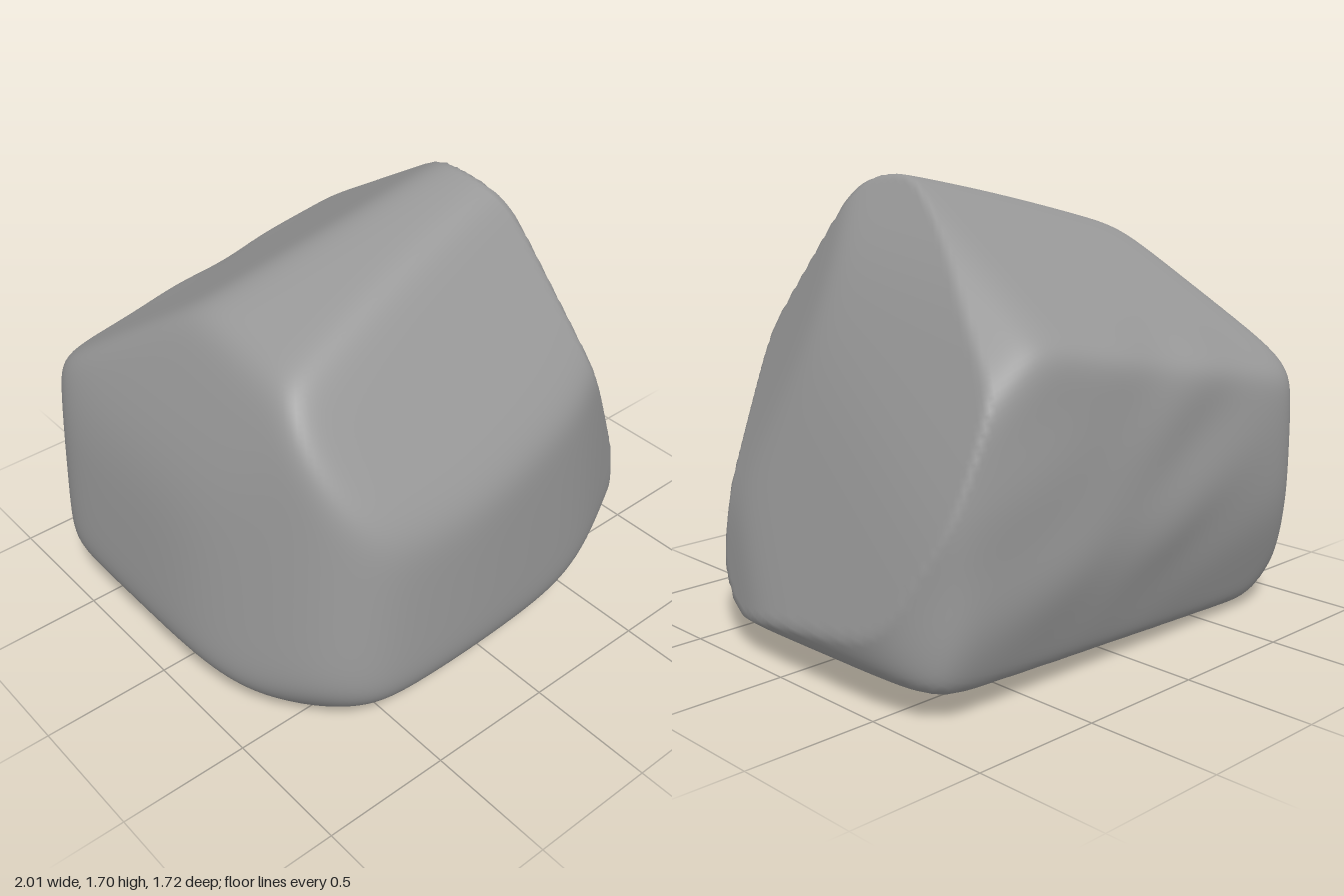
import * as THREE from 'three';
import { mergeVertices } from 'three/addons/utils/BufferGeometryUtils.js';

const V = (x, y, z) => new THREE.Vector3(x, y, z);
const CENTER = V(0, 0.7, 0);

// A cut through the stone: outward direction and a point on the face
const cut = (n, p) => {
  const normal = V(...n).normalize();
  return { normal, h: normal.dot(V(...p).sub(CENTER)) };
};

// Worn faces that blend softly into one another
const wornFaces = [
  cut([0.045, -1, -0.02], [0, 0.02, 0]),           // underside
  cut([0, -0.73, 0.68], [0, 0.125, 0.75]),         // lower front bevel
  cut([0.35, -0.72, 0.6], [0.6, 0.12, 0.6]),       // lower front right corner
  cut([-0.6, -0.65, 0.5], [-0.75, 0.18, 0.7]),     // lower front left corner
  cut([0.16, 0.02, 1], [-0.1, 0.55, 0.85]),        // front
  cut([-0.07, 0.03, 1], [-0.4, 0.5, 0.865]),       // front, left part
  cut([0.47, 0.04, 0.88], [0.64, 0.5, 0.665]),     // front, right part
  cut([0, 0.6, 0.8], [-0.2, 1.25, 0.575]),         // upper front
  cut([-0.6, 0.1, 0.8], [-0.74, 0.4, 0.79]),       // front left corner
  cut([-0.93, 0.12, 0.36], [-0.87, 0.5, 0.57]),    // left, front part
  cut([-1, 0.1, 0], [-1.005, 0.4, -0.1]),          // left
  cut([-0.9, 0.42, 0], [-0.85, 1.13, -0.1]),       // upper left
  cut([-0.7, -0.7, 0], [-0.925, 0.13, 0]),         // lower left bevel
  cut([-0.75, 0, -0.66], [-0.9, 0.6, -0.75]),      // back left corner
  cut([0, 0.04, -1], [0, 0.8, -0.85]),             // back
  cut([0.15, 0.04, -1], [0.6, 0.5, -0.83]),        // back, right part
  cut([0, -0.33, -0.94], [0, 0.3, -0.8]),          // lower back
  cut([0.85, 0, -0.53], [0.965, 0.3, -0.64]),      // back right corner
  cut([1, -0.15, 0], [1.005, 0.22, -0.4]),         // right foot
  cut([0.6, -0.8, 0], [0.95, 0.09, -0.1]),         // lower right bevel
  cut([-0.29, 0.94, 0.1], [-0.35, 1.55, 0.1]),     // crown, left part
  cut([-0.17, 0.97, 0.13], [0.25, 1.685, 0.08]),   // crown
  cut([-0.15, 0.83, -0.54], [0.4, 1.535, -0.25]),  // sloping top
  cut([0.6, 0.72, -0.4], [0.51, 1.37, -0.5]),      // worn rim at the back right
];
// Clean, slightly bowed fracture on the right, with a sharp rim
const fracture = [
  cut([0.91, 0.41, 0.02], [0.64, 1.2, -0.2]),
  cut([0.83, 0.56, 0], [0.46, 1.53, -0.2]),
  cut([0.955, 0.3, 0.09], [0.99, 0.29, -0.45]),
  cut([0.85, 0.38, 0.36], [0.67, 0.78, 0.57]),
  cut([0.95, 0.12, 0.3], [0.925, 0.25, 0.28]),
];

// Reach of a direction against several cuts, with their meeting edges rounded
const reach = (cuts, d, sharpness) => {
  let sum = 0;
  for (const { normal, h } of cuts) sum += Math.max(0, normal.dot(d) / h) ** sharpness;
  return 1 / sum ** (1 / sharpness);
};

// Shallow unevenness on the back
const bumps = (d) => {
  const wave = Math.sin(d.x * 8 + d.y * 5) * Math.sin(d.y * 9 - d.x * 3) + 0.5 * Math.sin(d.y * 13 + d.x * 11);
  return 1 + 0.006 * wave * THREE.MathUtils.smoothstep(-d.z - 0.6 * Math.abs(d.y), 0.2, 0.8);
};

export function createModel() {
  let geometry = new THREE.IcosahedronGeometry(1, 56);
  geometry.deleteAttribute('normal');
  geometry.deleteAttribute('uv');
  geometry = mergeVertices(geometry, 1e-5);

  // Push each point of the ball out to the stone's faces
  const pos = geometry.attributes.position;
  const d = V(0, 0, 0);
  for (let i = 0; i < pos.count; i++) {
    d.fromBufferAttribute(pos, i).normalize();
    const radius = Math.min(reach(wornFaces, d, 28) * bumps(d), reach(fracture, d, 60));
    d.multiplyScalar(radius).add(CENTER);
    pos.setXYZ(i, d.x, d.y, d.z);
  }

  // Centre it and stand it on the ground
  geometry.computeBoundingBox();
  const { min, max } = geometry.boundingBox;
  geometry.translate(-(min.x + max.x) / 2, -min.y, -(min.z + max.z) / 2);
  geometry.computeVertexNormals();

  const boulder = new THREE.Mesh(geometry, new THREE.MeshStandardMaterial({ color: 0x989898 }));
  boulder.name = 'boulder';
  const group = new THREE.Group();
  group.name = 'rock';
  group.add(boulder);
  return group;
}
